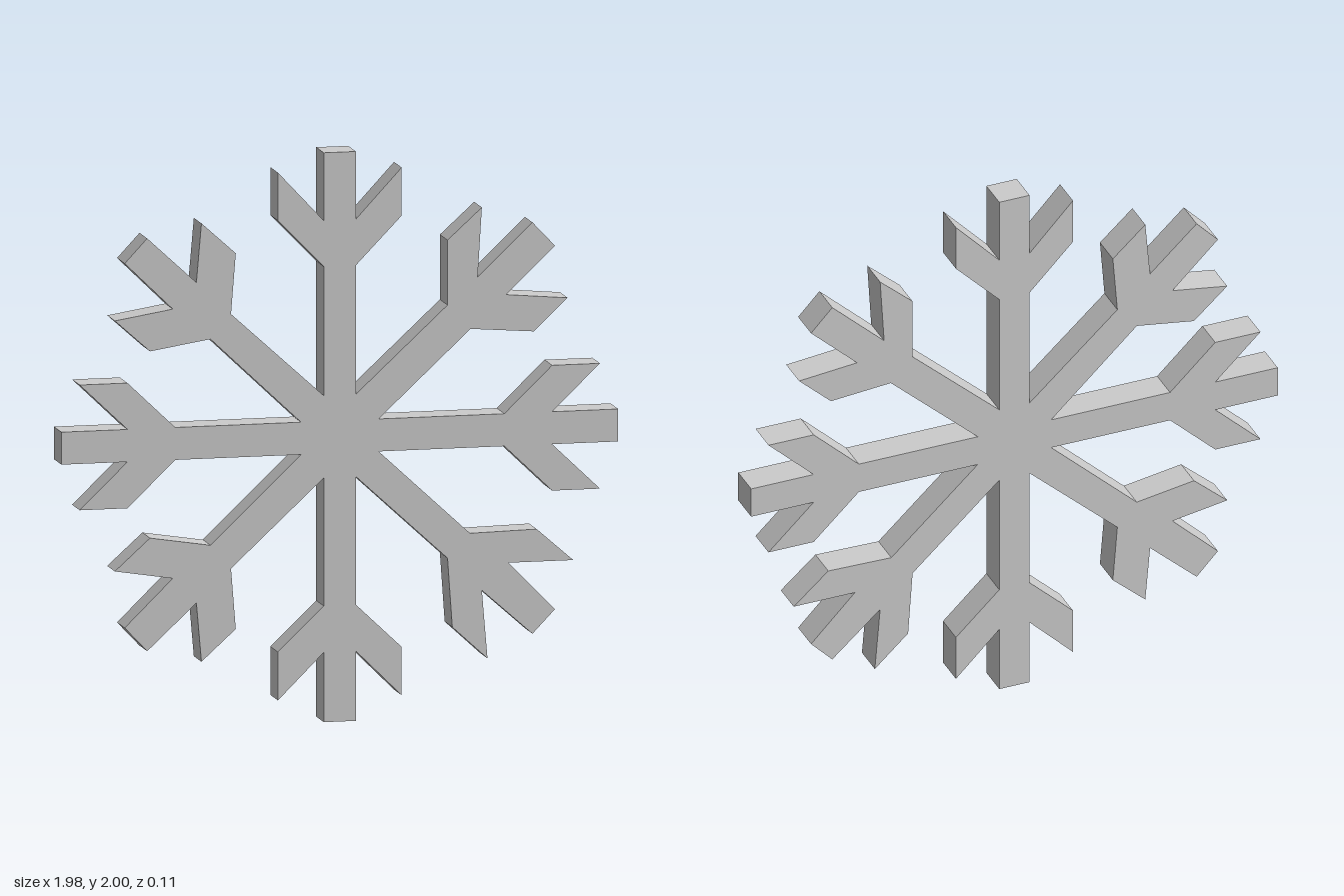
import * as THREE from 'three';

const HALF = 0.057; // half width of an arm and half thickness of the plate

// Straight arm as [along, aside] pairs: one edge going out, then mirrored coming back
function straightArm(angle, root, length, notch, shoulder, tip, fork) {
  const edge = [[root, HALF], [notch, HALF], [shoulder, 0.22], [tip, 0.22], [fork, HALF], [length, HALF]];
  const outline = [
    ...edge.map(([a, s]) => [a, -s]),
    ...edge.slice().reverse(),
  ];
  const c = Math.round(Math.cos(angle)), s = Math.round(Math.sin(angle));
  return outline.map(([a, b]) => [a * c - b * s, a * s + b * c]);
}

// Diagonal arms, counter-clockwise, each with a slightly different pair of barbs
const upperRight = [
  [0.465, 0.36], [0.69, 0.342], [0.81, 0.455], [0.592, 0.475], [0.765, 0.64],
  [0.685, 0.725], [0.49, 0.54], [0.505, 0.785], [0.383, 0.675], [0.383, 0.447],
];
const upperLeft = [
  [-0.387, 0.447], [-0.37, 0.66], [-0.492, 0.77], [-0.51, 0.563], [-0.685, 0.725],
  [-0.765, 0.64], [-0.594, 0.473], [-0.8, 0.44], [-0.675, 0.328], [-0.46, 0.362],
];
const lowerLeft = upperLeft.map(([x, y]) => [x, -y]).reverse();
const lowerRight = [
  [0.383, -0.442], [0.4, -0.685], [0.525, -0.8], [0.505, -0.56], [0.685, -0.72],
  [0.765, -0.637], [0.6, -0.467], [0.83, -0.467], [0.7, -0.353], [0.463, -0.358],
];

export function createModel() {
  const model = new THREE.Group();
  model.name = 'snowflake';

  // All eight arms joined around the hub in one closed outline
  const outline = [
    ...straightArm(0, 0.138, 0.99, 0.585, 0.755, 0.925, 0.755),
    ...upperRight,
    ...straightArm(Math.PI / 2, 0.147, 1, 0.6, 0.768, 0.937, 0.762),
    ...upperLeft,
    ...straightArm(Math.PI, 0.138, 0.99, 0.585, 0.755, 0.925, 0.755),
    ...lowerLeft,
    ...straightArm(-Math.PI / 2, 0.142, 1, 0.592, 0.747, 0.917, 0.755),
    ...lowerRight,
  ];
  const shape = new THREE.Shape(outline.map(([x, y]) => new THREE.Vector2(x, y)));

  // Flat plate centred on z = 0, standing on its lowest arm
  const geometry = new THREE.ExtrudeGeometry(shape, { depth: HALF * 2, bevelEnabled: false });
  geometry.translate(0, 1, -HALF);

  const plate = new THREE.Mesh(
    geometry,
    new THREE.MeshStandardMaterial({ color: 0xcccccc, flatShading: true }),
  );
  plate.name = 'snowflakePlate';
  model.add(plate);
  return model;
}
